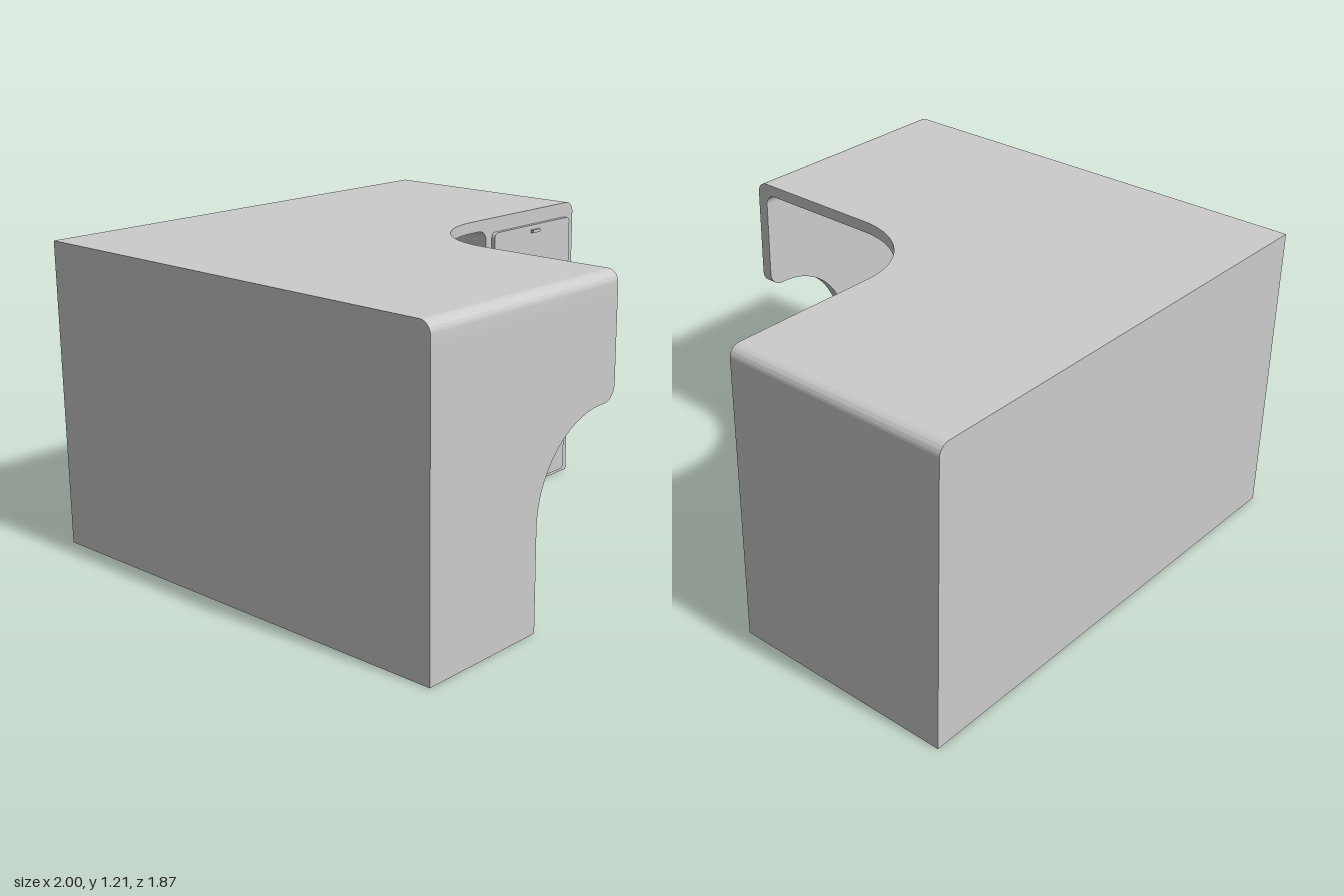
import * as THREE from 'three';
import { toCreasedNormals } from 'three/addons/utils/BufferGeometryUtils.js';

const H = 1.21;        // height
const D = 0.937;       // half depth
const T = 0.045;       // panel thickness
const R = 0.045;       // edge rounding
const FRONT = -0.01;   // front face of the drawer pedestal
const EDGE = -0.022;   // inner edge of the side return
const UNDER = H - T;   // underside of the top

const material = new THREE.MeshStandardMaterial({ color: 0xcccccc });

function addMesh(parent, geometry, name) {
  const mesh = new THREE.Mesh(geometry, material);
  mesh.name = name;
  parent.add(mesh);
  return mesh;
}

function extrude(shape, depth) {
  const geometry = new THREE.ExtrudeGeometry(shape, { depth, bevelEnabled: false, curveSegments: 16 });
  return toCreasedNormals(geometry, 0.5);
}

function box(parent, name, x0, x1, y0, y1, z0, z1) {
  const mesh = addMesh(parent, new THREE.BoxGeometry(x1 - x0, y1 - y0, z1 - z0), name);
  mesh.position.set((x0 + x1) / 2, (y0 + y1) / 2, (z0 + z1) / 2);
  return mesh;
}

// Upright end profile: rounded outer top corner, small fillet under the top.
function endProfile(inner, outer, bottom) {
  const s = new THREE.Shape();
  s.moveTo(inner, bottom);
  s.lineTo(outer, bottom);
  s.lineTo(outer, H - R);
  s.absarc(outer - R, H - R, R, 0, Math.PI / 2, false);
  s.lineTo(inner - R, H);
  s.lineTo(inner - R, UNDER);
  s.absarc(inner - R, UNDER - R, R, Math.PI / 2, 0, true);
  s.closePath();
  return s;
}

function roundedRect(x0, x1, y0, y1, r) {
  const s = new THREE.Shape();
  s.absarc(x1 - r, y1 - r, r, 0, Math.PI / 2, false);
  s.absarc(x0 + r, y1 - r, r, Math.PI / 2, Math.PI, false);
  s.absarc(x0 + r, y0 + r, r, Math.PI, Math.PI * 1.5, false);
  s.absarc(x1 - r, y0 + r, r, Math.PI * 1.5, Math.PI * 2, false);
  s.closePath();
  return s;
}

export function createModel() {
  const desk = new THREE.Group();
  desk.name = 'cornerDesk';

  // L-shaped top with a curved inner corner (drawn as x, -z)
  const pedestalX = 0.42;
  const frontZ = D - T - R;
  const c = 0.35;
  const top = new THREE.Shape();
  top.moveTo(-1, -frontZ);
  top.lineTo(EDGE, -frontZ);
  top.lineTo(EDGE, -FRONT - c);
  top.absarc(EDGE + c, -FRONT - c, c, Math.PI, Math.PI / 2, true);
  top.lineTo(pedestalX - R, -FRONT);
  top.lineTo(pedestalX - R, D);
  top.lineTo(-1, D);
  top.closePath();
  const deskTop = addMesh(desk, extrude(top, T).rotateX(-Math.PI / 2), 'deskTop');
  deskTop.position.y = UNDER;

  // Drawer pedestal
  const pedestal = addMesh(desk, extrude(endProfile(pedestalX, 1, 0), FRONT + D), 'pedestal');
  pedestal.position.z = -D;

  // Rounded bend joining the top to the front panel
  const bendY = UNDER - R;
  const bend = new THREE.Shape(
    endProfile(D - T, D, bendY).getPoints(16).map((p) => new THREE.Vector2(-p.x, p.y)).reverse());
  const frontBend = addMesh(desk, extrude(bend, EDGE + 1).rotateY(Math.PI / 2), 'frontBend');
  frontBend.position.x = -1;

  // Front panel with its curved knee cut-out
  const legX = -0.455, cutY = 0.743, cutR = 0.36, tipR = 0.06;
  const panel = new THREE.Shape();
  panel.moveTo(-1, 0);
  panel.lineTo(legX, 0);
  panel.lineTo(legX, cutY - cutR);
  panel.absarc(legX + cutR, cutY - cutR, cutR, Math.PI, Math.PI / 2, true);
  panel.absarc(EDGE - tipR, cutY + tipR, tipR, -Math.PI / 2, 0, false);
  panel.lineTo(EDGE, bendY);
  panel.lineTo(-1, bendY);
  panel.closePath();
  const frontPanel = addMesh(desk, extrude(panel, T), 'frontPanel');
  frontPanel.position.z = D - T;

  // Back and side walls
  box(desk, 'backWall', -1, pedestalX, 0, UNDER, -D, -D + T);
  box(desk, 'sideWall', -1, -1 + T, 0, UNDER, -D + T, D - T);

  // Drawers: bottom, top and handle height
  const drawerFront = 0.007;
  [[0.918, 1.15, 1.125], [0.655, 0.893, 0.865], [0.02, 0.635, 0.61]].forEach(([y0, y1, handleY], i) => {
    const drawer = new THREE.Group();
    drawer.name = `drawer${i + 1}`;
    const face = addMesh(drawer, extrude(roundedRect(0.455, 0.957, y0, y1, 0.02), drawerFront - FRONT), 'drawerFace');
    face.position.z = FRONT;
    box(drawer, 'handle', 0.69, 0.74, handleY - 0.006, handleY + 0.006, drawerFront, 0.02);
    desk.add(drawer);
  });

  return desk;
}
